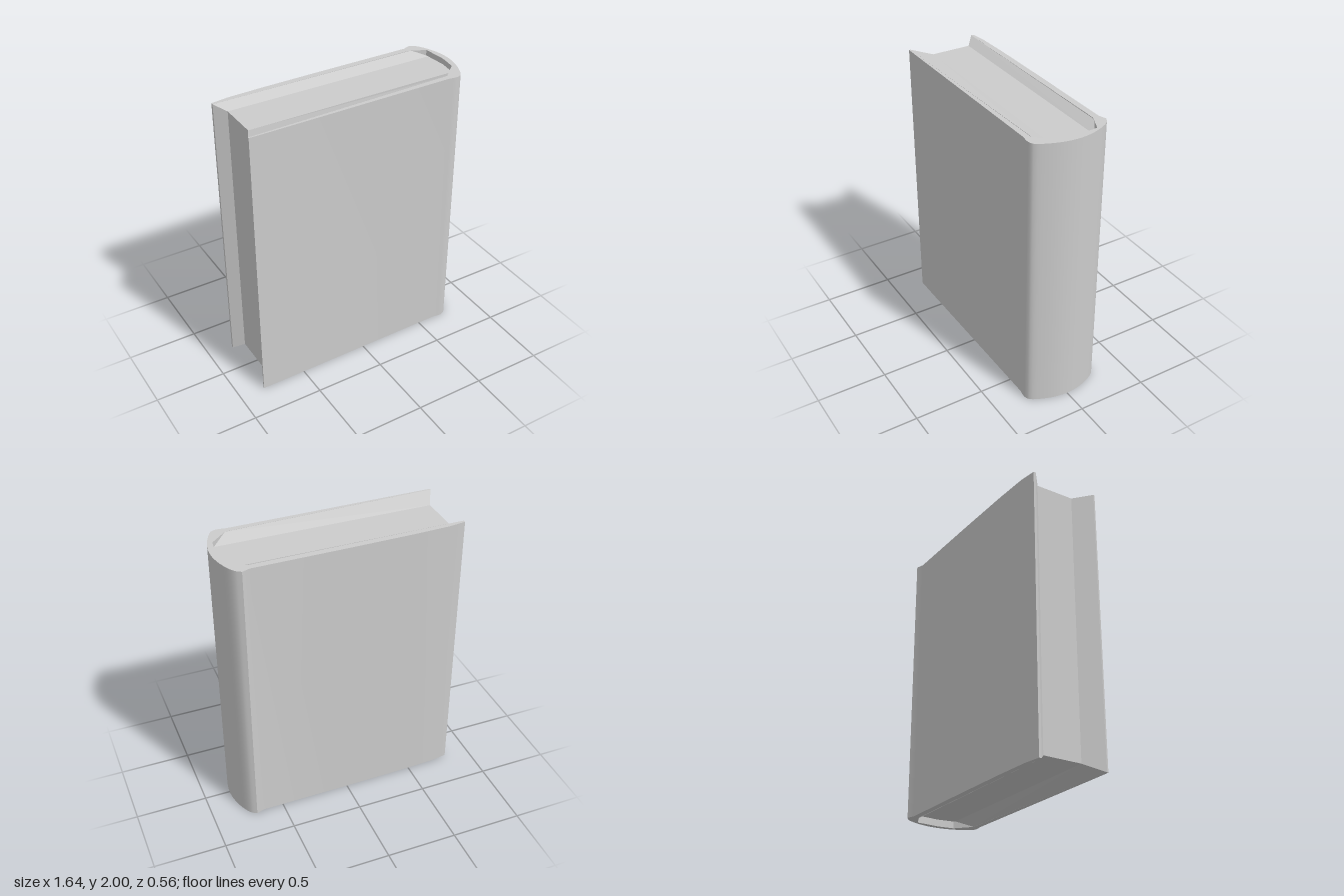
import * as THREE from 'three';
import { toCreasedNormals } from 'three/addons/utils/BufferGeometryUtils.js';
import { ConvexGeometry } from 'three/addons/geometries/ConvexGeometry.js';

const HEIGHT = 2;
const PAGES = { bottom: 0.05, top: 1.96, left: -0.75, right: 0.785, back: -0.15, front: 0.13 };

export function createModel() {
  const group = new THREE.Group();
  group.name = 'book';
  const material = new THREE.MeshStandardMaterial({ color: 0xcccccc });
  const add = (name, geometry) => {
    const mesh = new THREE.Mesh(geometry, material);
    mesh.name = name;
    group.add(mesh);
  };
  // plan points are [x, z]; shapes are drawn with z flipped, then stood upright
  const plan = (x, z) => new THREE.Vector2(x, -z);

  // binding: both boards and the rounded spine as one wrapped section
  const spine = new THREE.CatmullRomCurve3([
    [0.7, 0.273], [0.735, 0.257], [0.775, 0.185], [0.807, 0.09], [0.818, 0],
    [0.812, -0.08], [0.785, -0.175], [0.74, -0.257], [0.7, -0.285],
  ].map(([x, z]) => new THREE.Vector3(x, 0, z))).getPoints(24);
  const outline = [
    plan(-0.82, 0.268), plan(-0.82, 0.278), plan(-0.7, 0.278), plan(0.64, 0.265), plan(0.67, 0.271),
    ...spine.map((p) => plan(p.x, p.z)),
    plan(0.645, -0.266), plan(0, -0.262), plan(-0.45, -0.256), plan(-0.7, -0.247),
    plan(-0.82, -0.23), plan(-0.82, -0.212),
    plan(0.65, -0.222), plan(0.765, -0.17), plan(0.78, 0), plan(0.765, 0.12), plan(0.65, 0.225),
  ];
  const binding = new THREE.ExtrudeGeometry(new THREE.Shape(outline), { depth: HEIGHT, bevelEnabled: false });
  binding.rotateX(-Math.PI / 2);
  add('coverAndSpine', toCreasedNormals(binding, 0.5));

  // page block, set back from the board edges
  const size = [PAGES.right - PAGES.left, PAGES.top - PAGES.bottom, PAGES.front - PAGES.back];
  const pages = new THREE.BoxGeometry(...size);
  pages.translate((PAGES.left + PAGES.right) / 2, (PAGES.top + PAGES.bottom) / 2, (PAGES.front + PAGES.back) / 2);
  add('pageBlock', pages);

  // linings that slope from the rim of each board in to the page block
  const lining = (zFore, zSpine, zPages) => {
    const points = [];
    for (const y of [0, HEIGHT]) {
      points.push(new THREE.Vector3(-0.82, y, zFore), new THREE.Vector3(0.67, y, zSpine));
    }
    for (const y of [PAGES.bottom, PAGES.top]) {
      points.push(new THREE.Vector3(PAGES.left, y, zPages), new THREE.Vector3(0.77, y, zPages));
    }
    return new ConvexGeometry(points);
  };
  add('frontLining', lining(0.268, 0.222, PAGES.front));
  add('backLining', lining(-0.212, -0.216, PAGES.back));

  return group;
}
